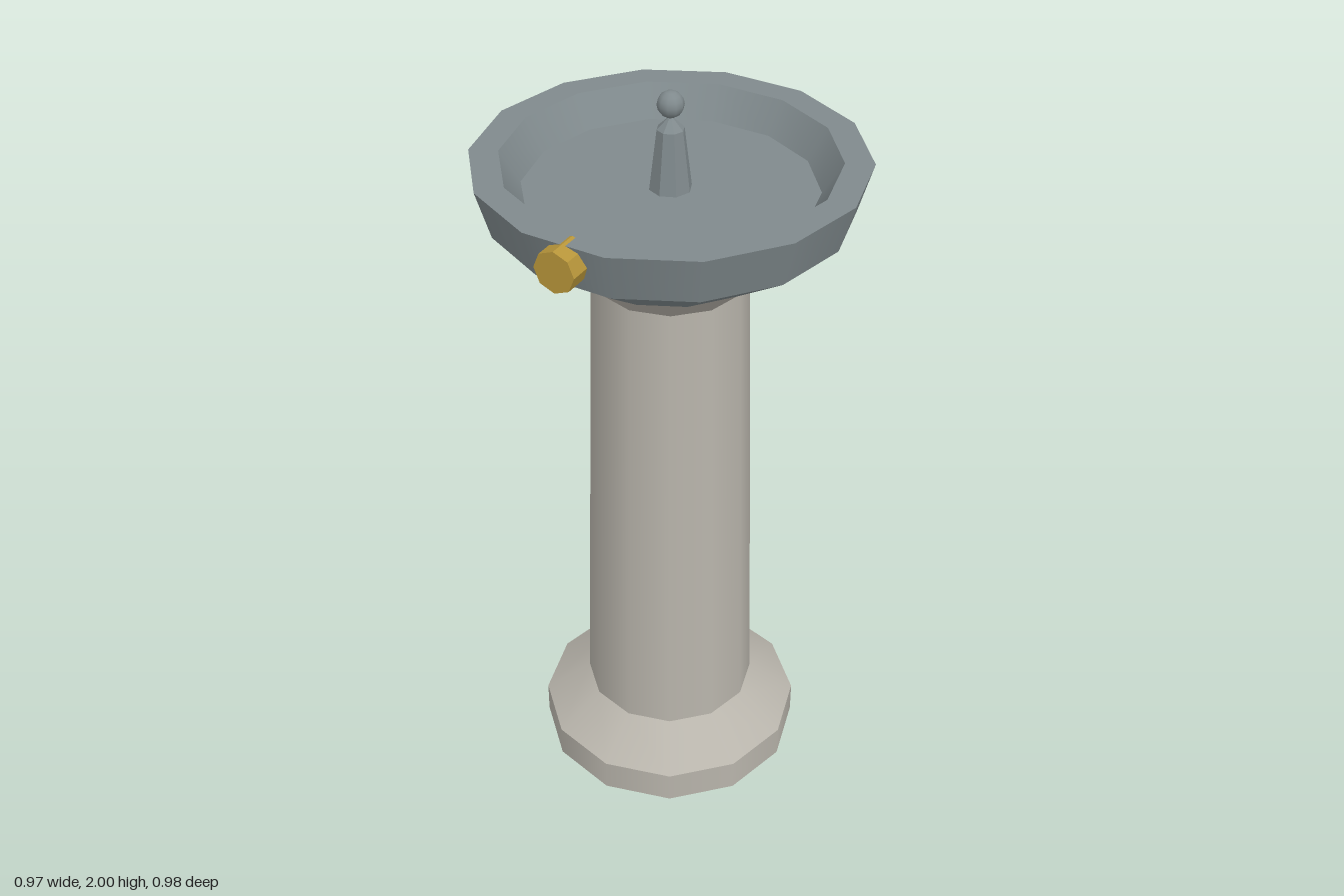
import * as THREE from 'three';
import { mergeGeometries } from 'three/addons/utils/BufferGeometryUtils.js';

const Z = -0.02; // axis of the pedestal and bowl

// Turned solid: smooth around the axis, sharp at every ring of the profile.
function turned(profile, sides) {
  const rings = [];
  for (let i = 0; i < profile.length - 1; i++) {
    const pair = [profile[i], profile[i + 1]].map(([r, y]) => new THREE.Vector2(r, y));
    rings.push(new THREE.LatheGeometry(pair, sides, Math.PI / 2));
  }
  return mergeGeometries(rings);
}

export function createModel() {
  const group = new THREE.Group();
  const material = (name, color, flatShading = false) => {
    const m = new THREE.MeshStandardMaterial({ color, flatShading });
    m.name = name;
    return m;
  };
  const stone = material('stone', 0xb8b4ab);
  const steel = material('steel', 0x808a8d);
  const brass = material('brass', 0xb8963a);

  const add = (name, geometry, mat, y = 0, z = Z) => {
    const mesh = new THREE.Mesh(geometry, mat);
    mesh.name = name;
    mesh.position.set(0, y, z);
    group.add(mesh);
    return mesh;
  };

  // Stepped foot, tapering column and flared collar
  add('base', turned([[0, 0], [0.358, 0], [0.358, 0.09], [0.233, 0.18]], 12), stone);
  add('column', turned([[0.233, 0.18], [0.197, 1.51]], 12), stone);
  add('collar', turned([[0.197, 1.51], [0.262, 1.58], [0, 1.58]], 12), stone);

  // Bowl with thick rim and sunken basin
  add('bowl', turned([
    [0, 1.58], [0.268, 1.58], [0.447, 1.705], [0.483, 1.83],
    [0.411, 1.83], [0.361, 1.75], [0, 1.75],
  ], 14), steel);

  // Faceted spout with pointed cap and ball
  const spout = turned([[0.053, 1.75], [0.034, 1.905], [0.011, 1.928], [0, 1.94]], 8).toNonIndexed();
  spout.computeVertexNormals();
  add('spout', spout, steel);
  add('spoutBall', new THREE.SphereGeometry(0.033, 10, 8), steel, 1.967);

  // Push button on the front of the bowl
  const button = new THREE.CylinderGeometry(0.053, 0.053, 0.08, 8).toNonIndexed();
  button.computeVertexNormals();
  button.rotateX(Math.PI / 2);
  add('pushButton', button, brass, 1.78, 0.45);

  return group;
}
